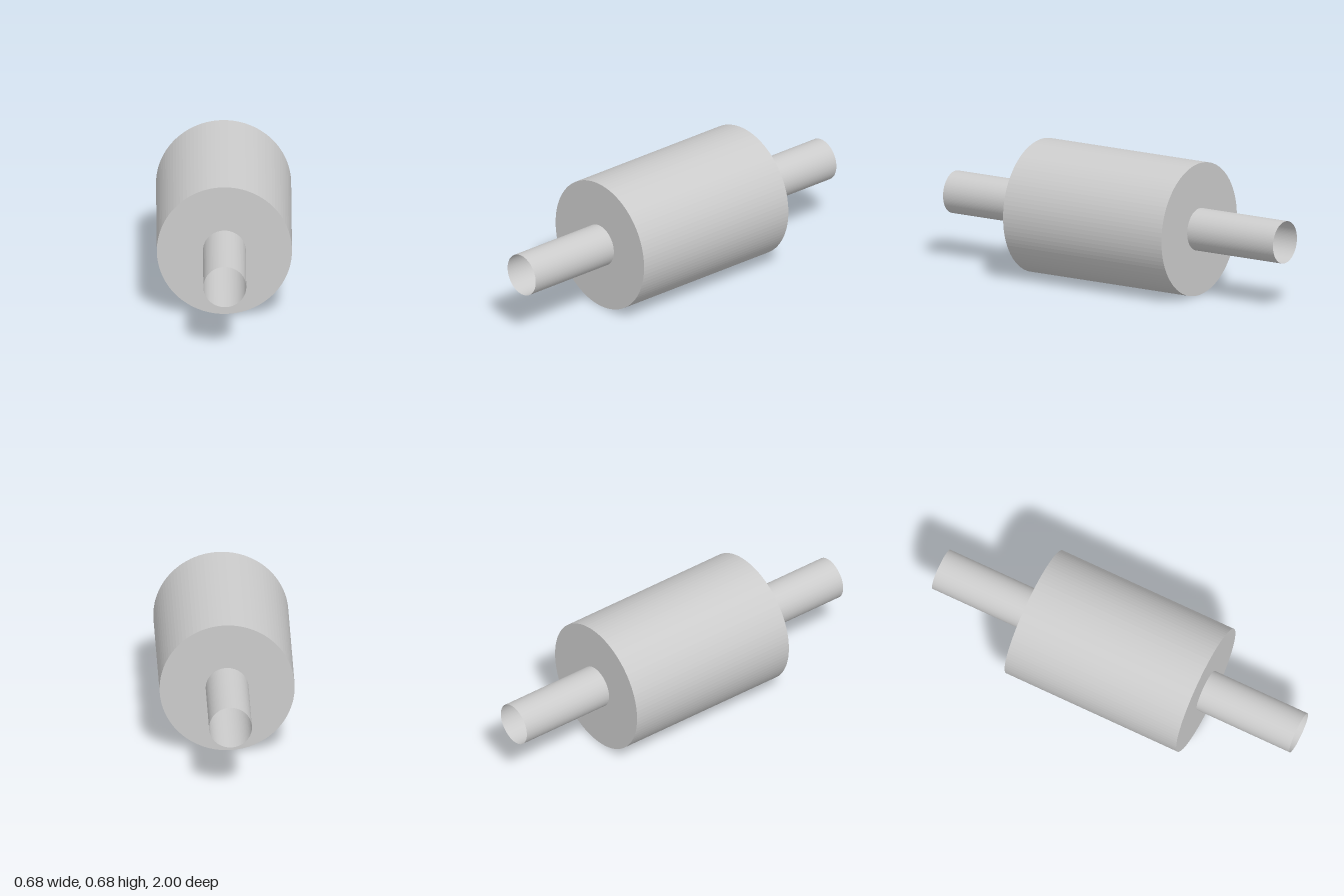
import * as THREE from 'three';

const SIDES = 96;
const BODY_RADIUS = 0.34;
const BODY_HALF = 0.48;
const PIPE_RADIUS = 0.108;
const PIPE_LENGTH = 2;

export function createModel() {
  const model = new THREE.Group();
  model.name = 'rollerOnPipe';
  const material = new THREE.MeshStandardMaterial({
    color: 0xcccccc, flatShading: true, side: THREE.DoubleSide,
  });

  // Lay a part made around y along the z axis, resting on the ground
  const add = (name, geometry) => {
    geometry.rotateX(Math.PI / 2);
    const mesh = new THREE.Mesh(geometry, material);
    mesh.name = name;
    mesh.position.y = BODY_RADIUS;
    model.add(mesh);
  };

  // Wide drum with flat ring-shaped ends around the pipe
  const profile = [
    [PIPE_RADIUS, -BODY_HALF], [BODY_RADIUS, -BODY_HALF],
    [BODY_RADIUS, BODY_HALF], [PIPE_RADIUS, BODY_HALF],
  ].map(([r, h]) => new THREE.Vector2(r, h));
  add('drum', new THREE.LatheGeometry(profile, SIDES));

  // Thin pipe, open at both ends, running right through the drum
  add('pipe', new THREE.CylinderGeometry(PIPE_RADIUS, PIPE_RADIUS, PIPE_LENGTH, SIDES, 1, true));

  return model;
}
